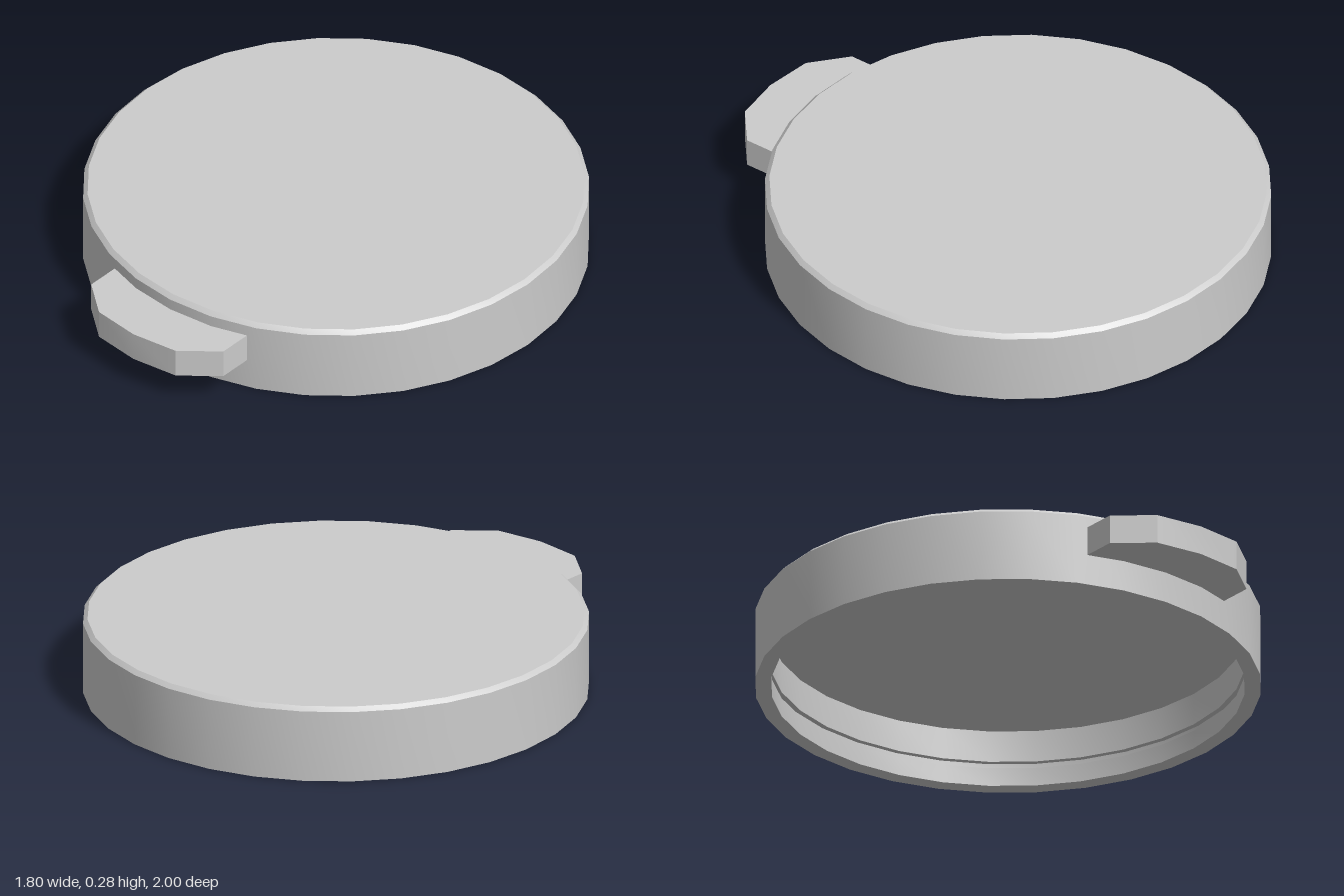
import * as THREE from 'three';
import { toCreasedNormals } from 'three/addons/utils/BufferGeometryUtils.js';

const CENTER_Z = -0.1;
const RADIUS = 0.9;
const INNER = 0.843;
const SIDES = 32;

export function createModel() {
  const group = new THREE.Group();
  group.name = 'lid';
  const material = new THREE.MeshStandardMaterial({ color: 0xcccccc });

  function add(name, geometry) {
    const mesh = new THREE.Mesh(toCreasedNormals(geometry, Math.PI / 9), material);
    mesh.name = name;
    group.add(mesh);
    return mesh;
  }

  // Hollow cap: ceiling, inner wall with a seal groove, rim, outer wall, bevelled top
  const profile = [
    [0, 0.213], [INNER, 0.213],
    [INNER, 0.094], [INNER + 0.02, 0.094], [INNER + 0.02, 0.069], [INNER, 0.069],
    [INNER, 0], [RADIUS, 0], [RADIUS, 0.265], [RADIUS - 0.016, 0.28], [0, 0.28],
  ].map(([r, y]) => new THREE.Vector2(r, y));
  add('cap', new THREE.LatheGeometry(profile, SIDES)).position.z = CENTER_Z;

  // Thumb tab: faceted front edge, back edge tucked into the cap wall
  const half = [[0.31, 0.73], [0.31, 0.87], [0.18, 0.978]];
  const back = [[-0.176, 0.77], [0, 0.785], [0.176, 0.77]];
  const outline = [
    ...half, [0, 1],
    ...half.map(([x, z]) => [-x, z]).reverse(),
    ...back,
  ].map(([x, z]) => new THREE.Vector2(x, -z));
  const tab = new THREE.ExtrudeGeometry(new THREE.Shape(outline), { depth: 0.108, bevelEnabled: false });
  tab.rotateX(-Math.PI / 2);
  add('thumbTab', tab).position.y = 0.115;

  return group;
}
